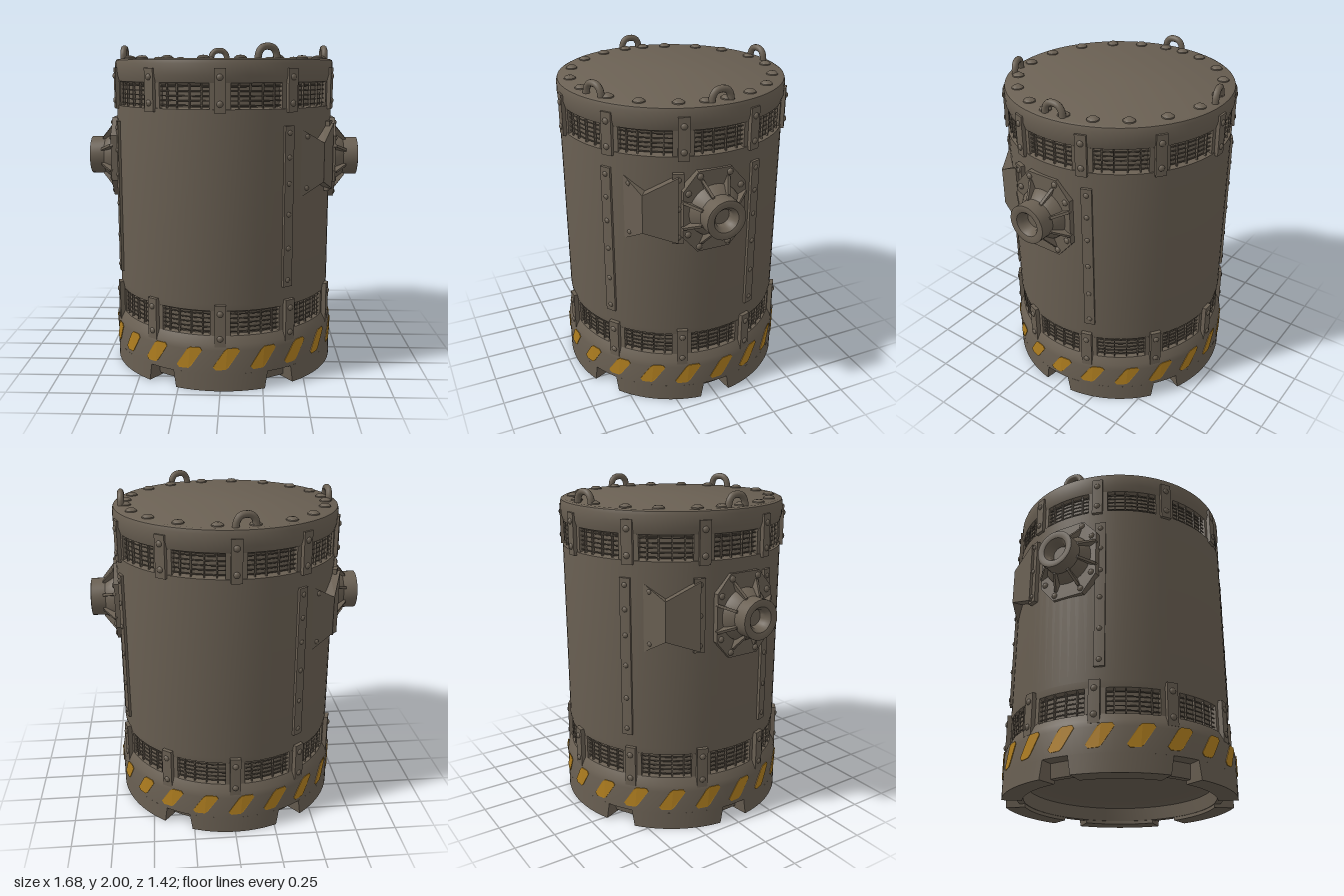
import * as THREE from 'three';
import { toCreasedNormals } from 'three/addons/utils/BufferGeometryUtils.js';
import { ConvexGeometry } from 'three/addons/geometries/ConvexGeometry.js';

const paint = new THREE.MeshStandardMaterial({ color: 0x6a6053 });
paint.name = 'weathered brown metal';
const hazard = new THREE.MeshStandardMaterial({ color: 0xb28020 });
hazard.name = 'hazard yellow';

const V2 = (p) => new THREE.Vector2(p[0], p[1]);
const rad = THREE.MathUtils.degToRad;
const steps = (n, start = 0) => Array.from({ length: n }, (_, i) => start + (i * 360) / n);

const lathe = (pts, seg) => toCreasedNormals(new THREE.LatheGeometry(pts.map(V2), seg), 0.6);
const hull = (pts) => new ConvexGeometry(pts.map((p) => new THREE.Vector3(...p)));

// Bends a flat geometry (x across, z outward from radius r) round the drum axis
function wrap(geo, r) {
  const p = geo.attributes.position;
  for (let i = 0; i < p.count; i++) {
    const a = p.getX(i) / r, d = r + p.getZ(i);
    p.setXYZ(i, d * Math.sin(a), p.getY(i), d * Math.cos(a));
  }
  geo.computeVertexNormals();
  return geo;
}

// Curved plate between two heights and two radii, its bottom edge scaled by taper
function curvedPlate(w, y0, y1, r0, r1, seg = 4, taper = 1) {
  const geo = new THREE.BoxGeometry(w, y1 - y0, r1 - r0, seg, 1, 1).translate(0, (y0 + y1) / 2, (r1 - r0) / 2);
  const p = geo.attributes.position;
  for (let i = 0; i < p.count; i++) if (p.getY(i) < (y0 + y1) / 2) p.setX(i, p.getX(i) * taper);
  return wrap(geo, r0);
}

// Domed bolt head facing +z
const boltHead = (r) =>
  new THREE.SphereGeometry(r, 12, 5, 0, Math.PI * 2, 0, Math.PI / 2).rotateX(Math.PI / 2).scale(1, 1, 0.75);

function add(parent, name, geo, mat = paint) {
  const m = new THREE.Mesh(geo, mat);
  m.name = name;
  parent.add(m);
  return m;
}

// Repeats a geometry round the drum axis
function around(parent, name, geo, degrees, mat = paint) {
  const g = new THREE.Group();
  g.name = name + 's';
  for (const d of degrees) add(g, name, geo, mat).rotation.y = rad(d);
  parent.add(g);
}

// Pipe stub on an octagonal bolted flange, pointing +z
function makePipePort() {
  const g = new THREE.Group();
  g.name = 'pipePort';
  const oct = [[-0.1, -0.245], [0.1, -0.245], [0.19, -0.14], [0.19, 0.14],
    [0.1, 0.245], [-0.1, 0.245], [-0.19, 0.14], [-0.19, -0.14]];
  add(g, 'flange', new THREE.ExtrudeGeometry(new THREE.Shape(oct.map(V2)),
    { depth: 0.065, bevelEnabled: false }).translate(0, 0, 0.625));
  add(g, 'pipe', lathe([[0.16, 0.66], [0.155, 0.7], [0.117, 0.75], [0.117, 0.838],
    [0.1, 0.842], [0.075, 0.835], [0.055, 0.81], [0.05, 0.77], [0, 0.77]], 32).rotateX(Math.PI / 2));
  const ribShape = new THREE.Shape(
    [[0.1, 0.68], [0.21, 0.68], [0.21, 0.698], [0.125, 0.765], [0.1, 0.765]].map(V2));
  const rib = new THREE.ExtrudeGeometry(ribShape, { depth: 0.016, bevelEnabled: false })
    .translate(0, 0, -0.008).rotateX(Math.PI / 2);
  for (const d of steps(8, 22.5)) add(g, 'rib', rib).rotation.z = rad(d);
  for (const sx of [-1, 1]) for (const sy of [-1, 1]) for (const [x, y] of [[0.09, 0.215], [0.16, 0.125]])
    add(g, 'flangeBolt', boltHead(0.019)).position.set(sx * x, sy * y, 0.688);
  return g;
}

// Lifting eye standing on the lid, its face turned outward
function makeLiftingEye() {
  const g = new THREE.Group();
  g.name = 'liftingEye';
  const pts = [[-0.06, -0.01], [-0.052, 0.035], [-0.032, 0.06], [0, 0.067],
    [0.032, 0.06], [0.052, 0.035], [0.06, -0.01]];
  const curve = new THREE.CatmullRomCurve3(pts.map(([x, y]) => new THREE.Vector3(x, y, 0)));
  add(g, 'eyeLoop', new THREE.TubeGeometry(curve, 20, 0.02, 10));
  return g;
}

export function createModel() {
  const model = new THREE.Group();
  model.name = 'ventedDrum';

  // Drum shell: shallow underside, base collar, two recessed vent bands and lid
  add(model, 'drumShell', lathe([[0, 0.11], [0.3, 0.115], [0.5, 0.125], [0.56, 0.1], [0.575, 0.02],
    [0.615, 0.02], [0.63, 0.1], [0.7, 0.105], [0.7, 0.25], [0.692, 0.285], [0.668, 0.33], [0.638, 0.335],
    [0.638, 0.465], [0.668, 0.48], [0.674, 0.52], [0.674, 1.635], [0.638, 1.645], [0.638, 1.765],
    [0.668, 1.78], [0.68, 1.82], [0.68, 1.885], [0.674, 1.905], [0.66, 1.912], [0, 1.912]], 80));

  // Feet: tapered ring sectors with shallow recesses between them
  around(model, 'foot', curvedPlate(0.475, 0, 0.108, 0.58, 0.7, 14, 0.94), steps(6));

  // Hazard stripes
  const stripe = new THREE.Shape([[-0.078, 0.15], [-0.062, 0.132], [-0.005, 0.135], [0.012, 0.15],
    [0.078, 0.25], [0.066, 0.268], [0.005, 0.266], [-0.014, 0.25]].map(V2));
  around(model, 'hazardStripe', wrap(new THREE.ExtrudeGeometry(stripe,
    { depth: 0.004, bevelEnabled: false }).translate(0, 0, 0.001), 0.7), steps(20, 3), hazard);

  // Vent bands: posts, grille bars, clamps and clamp bolts
  const tenths = steps(10);
  for (const [lo, hi, c0, c1] of [[0.335, 0.475, 0.27, 0.52], [1.64, 1.775, 1.615, 1.86]]) {
    around(model, 'ventPost', curvedPlate(0.11, lo - 0.005, hi + 0.005, 0.62, 0.669), tenths);
    for (let i = 0; i < 5; i++) {
      const ring = new THREE.TorusGeometry(0.655, 0.004, 5, 80).rotateX(Math.PI / 2);
      add(model, 'grilleRing', ring).position.y = lo + ((i + 0.6) * (hi - lo)) / 5.2;
    }
    const barAngles = tenths.flatMap((d) => [9, 14.5, 21, 27].map((o) => d + o));
    around(model, 'grilleBar', curvedPlate(0.007, lo, hi, 0.65, 0.664, 1), barAngles);
    around(model, 'clamp', curvedPlate(0.062, c0, c1, 0.66, lo < 1 ? 0.697 : 0.692), tenths);
    for (const y of [c0 + 0.05, c1 - 0.05])
      around(model, 'clampBolt', boltHead(0.019).translate(0, y, lo < 1 ? 0.694 : 0.689), tenths);
  }

  // Long riveted straps
  const straps = [34.5, 110, 214.5, 290];
  around(model, 'strap', curvedPlate(0.06, 0.6, 1.54, 0.66, 0.69), straps);
  for (const y of [0.64, 0.83, 1.03, 1.21, 1.36, 1.5])
    around(model, 'strapRivet', boltHead(0.016).translate(0, y, 0.687), straps);

  // Side hoods: saddle of two wedges, pinched along the outer ridge
  const ridge = [[0.6, 1.2, 0.435], [0.6, 1.43, 0.435], [0.52, 1.2, 0.38], [0.52, 1.43, 0.38]];
  const frontWedge = [[0.45, 1.11, 0.495], [0.45, 1.52, 0.495], ...ridge];
  const rearWedge = [[0.672, 1.13, 0.25], [0.672, 1.53, 0.25], [0.61, 1.13, 0.23], [0.61, 1.53, 0.23], ...ridge];
  around(model, 'hoodFrontWedge', hull(frontWedge), [0, 180]);
  around(model, 'hoodRearWedge', hull(rearWedge), [0, 180]);
  around(model, 'hoodStrap', curvedPlate(0.06, 1.12, 1.545, 0.66, 0.7), [69.5, 249.5]);
  for (const y of [1.16, 1.335, 1.51])
    around(model, 'hoodRivet', boltHead(0.018).translate(0, y, 0.697), [69.5, 249.5]);
  for (const y of [1.17, 1.47])
    around(model, 'hoodCornerRivet', boltHead(0.016).translate(0, y, 0.685), [46.5, 226.5]);

  // Pipe ports on both sides
  for (const s of [-1, 1]) {
    const port = makePipePort();
    port.position.set(0, 1.31, 0.04);
    port.rotation.y = (s * Math.PI) / 2;
    model.add(port);
  }

  // Lid bolts
  const lidAngles = [10.5, 32, 50, 70, 84, 96, 112, 130, 150, 171];
  const lidBolt = lathe([[0.036, 0], [0.034, 0.01], [0.022, 0.02], [0, 0.023]], 14).translate(0, 1.908, 0.603);
  around(model, 'lidBolt', lidBolt, [...lidAngles, ...lidAngles.map((a) => a + 180)]);

  // Lifting eyes: bearing on the lid and facing angle
  for (const [d, facing] of [[24.5, 24.5], [91.5, 92], [185, 194], [271.5, 271]]) {
    const eye = makeLiftingEye();
    eye.position.set(0.625 * Math.sin(rad(d)), 1.91, 0.625 * Math.cos(rad(d)));
    eye.rotation.y = rad(facing);
    model.add(eye);
  }
  return model;
}
